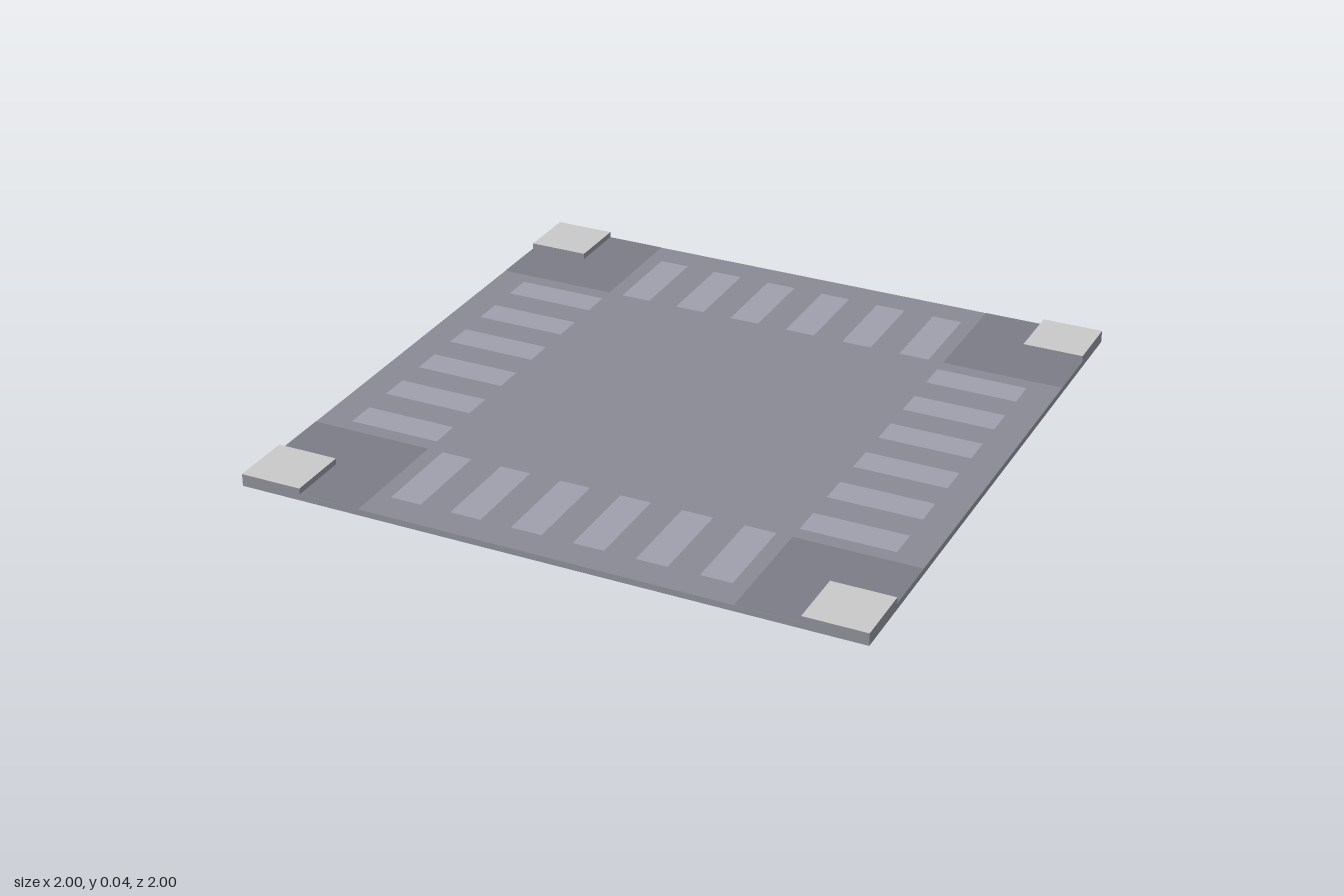
import * as THREE from 'three';

const SLAB = 0.02;   // slab thickness
const LIFT = 0.0008; // markings sit just above the slab

const paint = (color) => new THREE.MeshStandardMaterial({ color });

export function createModel() {
  const model = new THREE.Group();
  model.name = 'roadCrossing';

  const grey = paint(0xcccccc);
  const road = paint(0x8b8c96);
  const junction = paint(0x7c7e87);
  const stripePaint = paint(0xa0a1ae);

  const add = (parent, name, geometry, material, x = 0, y = 0, z = 0) => {
    const mesh = new THREE.Mesh(geometry, material);
    mesh.name = name;
    mesh.position.set(x, y, z);
    parent.add(mesh);
  };

  // Road slab; material order is +x, -x, top, bottom, +z, -z
  add(model, 'roadSlab', new THREE.BoxGeometry(2, SLAB, 2),
    [road, road, road, grey, road, road], 0, SLAB / 2, 0);

  // Dark L-shaped patch that wraps a kerb block (drawn in x and -z)
  const patch = new THREE.Shape([
    [0.6, -1], [0.8, -1], [0.8, -0.8], [1, -0.8], [1, -0.6], [0.6, -0.6],
  ].map(([x, y]) => new THREE.Vector2(x, y)));
  const patchGeometry = new THREE.ShapeGeometry(patch).rotateX(-Math.PI / 2);
  const stripeGeometry = new THREE.PlaneGeometry(0.1, 0.3).rotateX(-Math.PI / 2);
  const kerbGeometry = new THREE.BoxGeometry(0.2, 0.02, 0.2);

  // Each quarter carries one crossing and one corner
  for (let i = 0; i < 4; i++) {
    const quarter = new THREE.Group();
    quarter.name = `quarter${i + 1}`;
    quarter.rotation.y = i * Math.PI / 2;

    for (let s = 0; s < 6; s++) {
      add(quarter, 'crossingStripe', stripeGeometry, stripePaint,
        -0.5 + 0.2 * s, SLAB + LIFT, 0.75);
    }
    add(quarter, 'cornerPatch', patchGeometry, junction, 0, SLAB + LIFT, 0);
    add(quarter, 'kerbBlock', kerbGeometry,
      [road, road, grey, grey, road, road], 0.9, SLAB + 0.01, 0.9);
    model.add(quarter);
  }
  return model;
}
